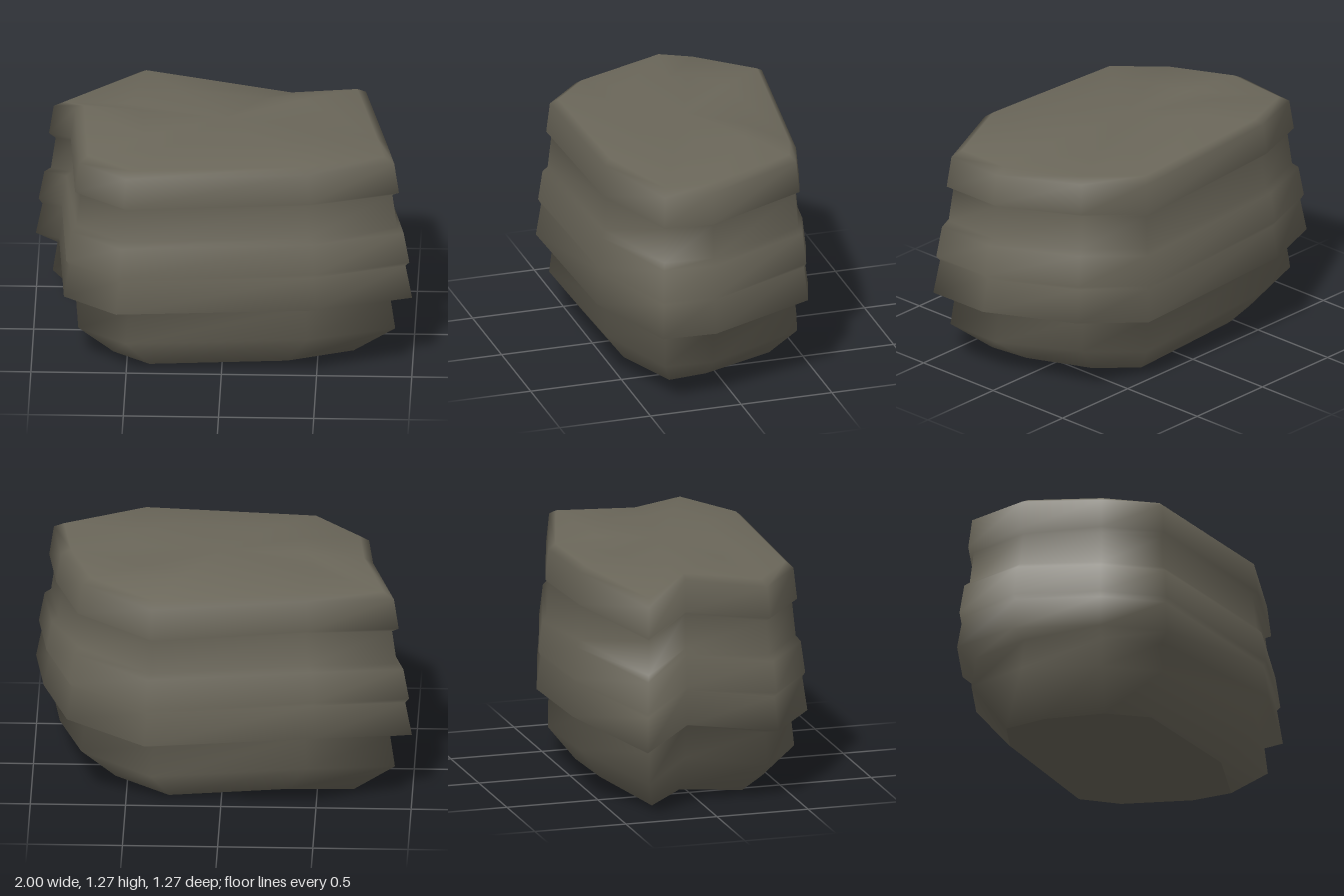
import * as THREE from 'three';

// Outline corners, counter-clockwise from above: x, z, strata wave, underside height
const outline = [
  [1.0, 0.43, 0, 0.05],
  [0.95, 0.12, -0.03, 0.045],
  [0.81, -0.43, 0.03, 0.075],
  [0.4, -0.56, -0.06, 0.01],
  [-0.5, -0.64, 0.035, 0.08],
  [-1.0, -0.38, -0.055, 0.0],
  [-0.87, -0.12, 0.045, 0.05],
  [-0.83, 0.39, -0.04, 0.01],
  [-0.55, 0.635, -0.02, 0.025],
  [0.5, 0.635, 0.02, 0.055],
];

// Rings from top to bottom: scale, height, share of the strata wave
const rings = [
  [0.5, 1.252, 0.3],
  [0.85, 1.225, 0.9],
  [0.905, 1.195, 1], [0.93, 1.03, 1], // top layer
  [0.895, 1.01, 1], [0.92, 0.83, 1],
  [0.955, 0.8, 1], [0.985, 0.635, 1],
  [0.965, 0.61, 1], [1.0, 0.43, 1],   // widest layer
  [0.885, 0.4, 1], [0.91, 0.23, 1],   // lowest layer
];

// Tapered foot ring, shared by the walls and the underside
const foot = outline.flatMap(([x, z, , low]) => [x * 0.69, low, z * 0.69]);
const n = outline.length;

function smoothGeometry(points, faces) {
  const geometry = new THREE.BufferGeometry();
  geometry.setAttribute('position', new THREE.Float32BufferAttribute(points, 3));
  geometry.setIndex(faces);
  geometry.computeVertexNormals();
  return geometry;
}

// Top cap and layered walls
function createStrata() {
  const points = [];
  const faces = [];
  for (const [scale, height, wave] of rings) {
    for (const [x, z, h] of outline) points.push(x * scale, height + h * wave, z * scale);
  }
  points.push(...foot);
  const top = points.length / 3;
  points.push(0, 1.255, 0);

  for (let i = 0; i < n; i++) {
    const j = (i + 1) % n;
    faces.push(top, i, j);
    for (let r = 0; r < rings.length; r++) {
      const a = r * n + i, b = r * n + j;
      const c = a + n, d = b + n;
      faces.push(c, d, b, c, b, a);
    }
  }
  return smoothGeometry(points, faces);
}

// Flat base with its own sharp rim
function createUnderside() {
  const faces = [];
  for (let i = 0; i < n; i++) faces.push(n, (i + 1) % n, i);
  return smoothGeometry([...foot, 0, 0.04, 0], faces);
}

export function createModel() {
  const group = new THREE.Group();
  group.name = 'layeredRock';
  const stone = new THREE.MeshStandardMaterial({ color: 0x6b675a });
  stone.name = 'stone';

  const strata = new THREE.Mesh(createStrata(), stone);
  strata.name = 'rockStrata';
  const underside = new THREE.Mesh(createUnderside(), stone);
  underside.name = 'rockUnderside';
  group.add(strata, underside);
  return group;
}
